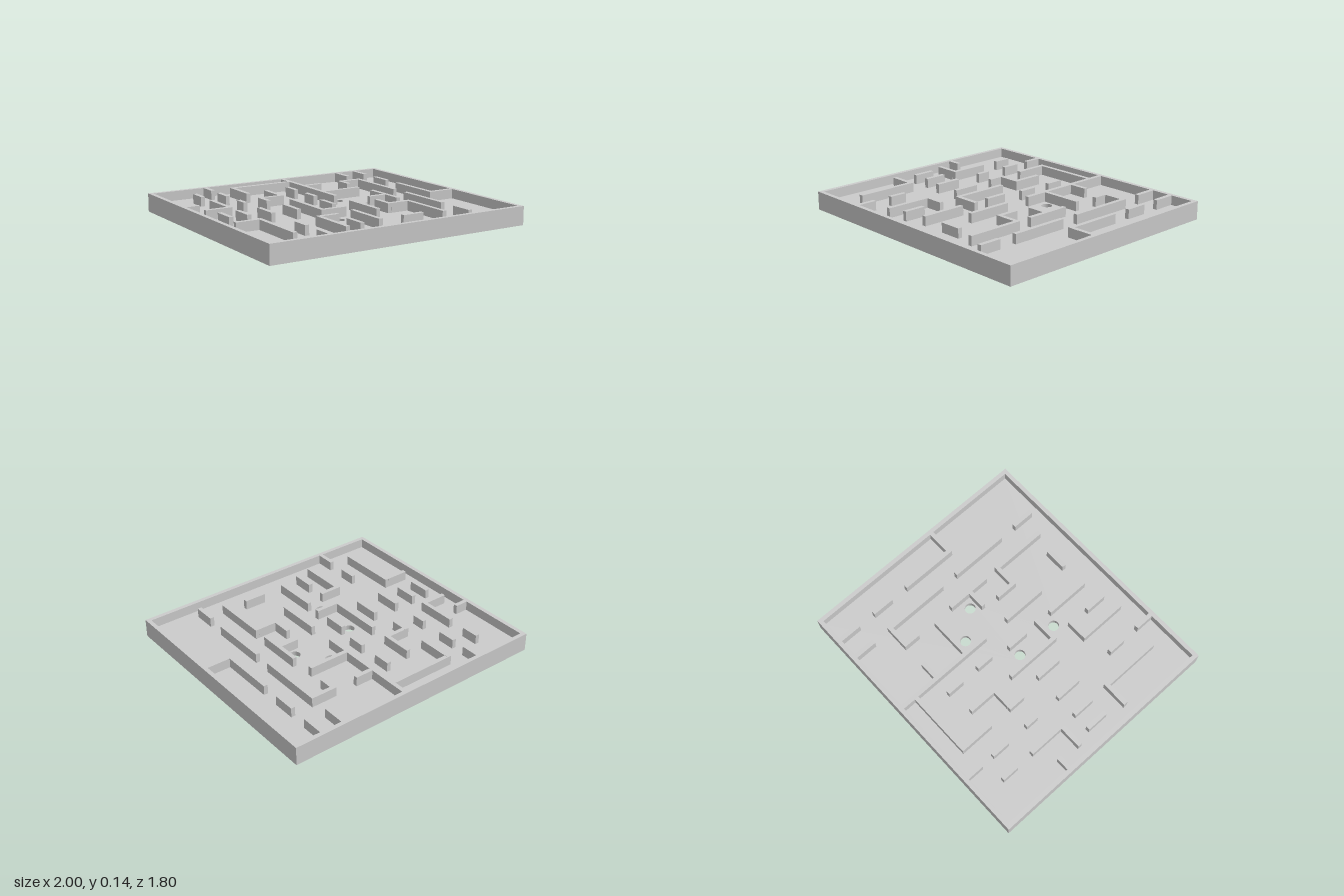
import * as THREE from 'three';

const W = 2, D = 1.8, H = 0.135;      // outer size
const T = 0.031;                      // wall and rim thickness
const FLOOR_LOW = 0.03, FLOOR_TOP = 0.065;

// Walls running front to back: centre x, then [z start, z end] spans
const COLUMNS = [
  [-0.854, [[-0.035, 0.13]]],
  [-0.72, [[-0.7, -0.57], [-0.435, -0.14], [-0.035, 0.13], [0.265, 0.727]]],
  [-0.555, [[-0.87, -0.74], [-0.64, -0.505], [-0.335, -0.235], [-0.035, 0.16], [0.465, 0.595], [0.73, 0.87]]],
  [-0.386, [[-0.77, -0.505], [-0.335, -0.205]]],
  [-0.355, [[-0.035, 0.16], [0.4, 0.763]]],
  [-0.221, [[-0.54, -0.305], [-0.17, 0.26], [0.565, 0.727]]],
  [-0.055, [[-0.035, 0.13], [0.36, 0.695]]],
  [-0.02, [[-0.57, -0.44], [-0.3, -0.17]]],
  [0.111, [[-0.87, -0.105], [0.095, 0.43]]],
  [0.28, [[0.165, 0.33]]],
  [0.446, [[-0.57, -0.44], [-0.135, 0.2], [0.3, 0.727]]],
  [0.612, [[-0.87, -0.705], [-0.57, -0.07], [0.06, 0.497], [0.63, 0.797]]],
  [0.779, [[-0.87, -0.705], [-0.57, -0.405], [-0.27, 0.16]]],
];

// Walls running left to right: centre z, x start, x end
const ROWS = [
  [-0.755, -0.37, 0.096], [-0.555, 0.126, 0.26], [-0.286, 0.126, 0.43],
  [-0.555, 0.461, 0.597], [-0.32, -0.37, -0.236], [-0.155, -0.905, -0.735],
  [-0.32, -0.97, -0.87], [0.245, -0.206, -0.035], [0.28, -0.905, -0.735],
  [0.415, -0.34, -0.205], [0.679, 0.13, 0.295], [0.315, 0.295, 0.431],
  [0.045, 0.295, 0.431], [0.145, 0.794, 0.97],
];

// Ball holes: x, z
const HOLES = [[0.2, -0.214], [-0.137, 0], [0.363, -0.024], [-0.137, 0.326]];
const HOLE_RADIUS = 0.039;

const material = new THREE.MeshStandardMaterial({ color: 0xcccccc });

function rectangle(path, w, d) {
  path.moveTo(-w / 2, -d / 2);
  path.lineTo(w / 2, -d / 2);
  path.lineTo(w / 2, d / 2);
  path.lineTo(-w / 2, d / 2);
  path.closePath();
  return path;
}

// Upright extrusion of a plan shape (shape y = -z) between two heights
function slab(name, shape, low, top) {
  const geometry = new THREE.ExtrudeGeometry(shape, {
    depth: top - low, bevelEnabled: false, curveSegments: 24,
  });
  geometry.rotateX(-Math.PI / 2).translate(0, low, 0);
  const mesh = new THREE.Mesh(geometry, material);
  mesh.name = name;
  return mesh;
}

function wall(name, x0, x1, z0, z1) {
  const height = H - FLOOR_TOP;
  const mesh = new THREE.Mesh(new THREE.BoxGeometry(x1 - x0, height, z1 - z0), material);
  mesh.position.set((x0 + x1) / 2, FLOOR_TOP + height / 2, (z0 + z1) / 2);
  mesh.name = name;
  return mesh;
}

export function createModel() {
  const model = new THREE.Group();
  model.name = 'mazeTray';

  // Rim, reaching below the floor
  const rim = rectangle(new THREE.Shape(), W, D);
  rim.holes.push(rectangle(new THREE.Path(), W - 2 * T, D - 2 * T));
  model.add(slab('rim', rim, 0, H));

  // Floor with ball holes
  const floor = rectangle(new THREE.Shape(), W - 2 * T, D - 2 * T);
  for (const [x, z] of HOLES) {
    floor.holes.push(new THREE.Path().absarc(x, -z, HOLE_RADIUS, 0, Math.PI * 2, true));
  }
  model.add(slab('floor', floor, FLOOR_LOW, FLOOR_TOP));

  // Maze walls, level with the rim
  const walls = new THREE.Group();
  walls.name = 'mazeWalls';
  for (const [x, spans] of COLUMNS) {
    for (const [z0, z1] of spans) walls.add(wall('lengthwiseWall', x - T / 2, x + T / 2, z0, z1));
  }
  for (const [z, x0, x1] of ROWS) walls.add(wall('crosswiseWall', x0, x1, z - T / 2, z + T / 2));
  model.add(walls);

  return model;
}
